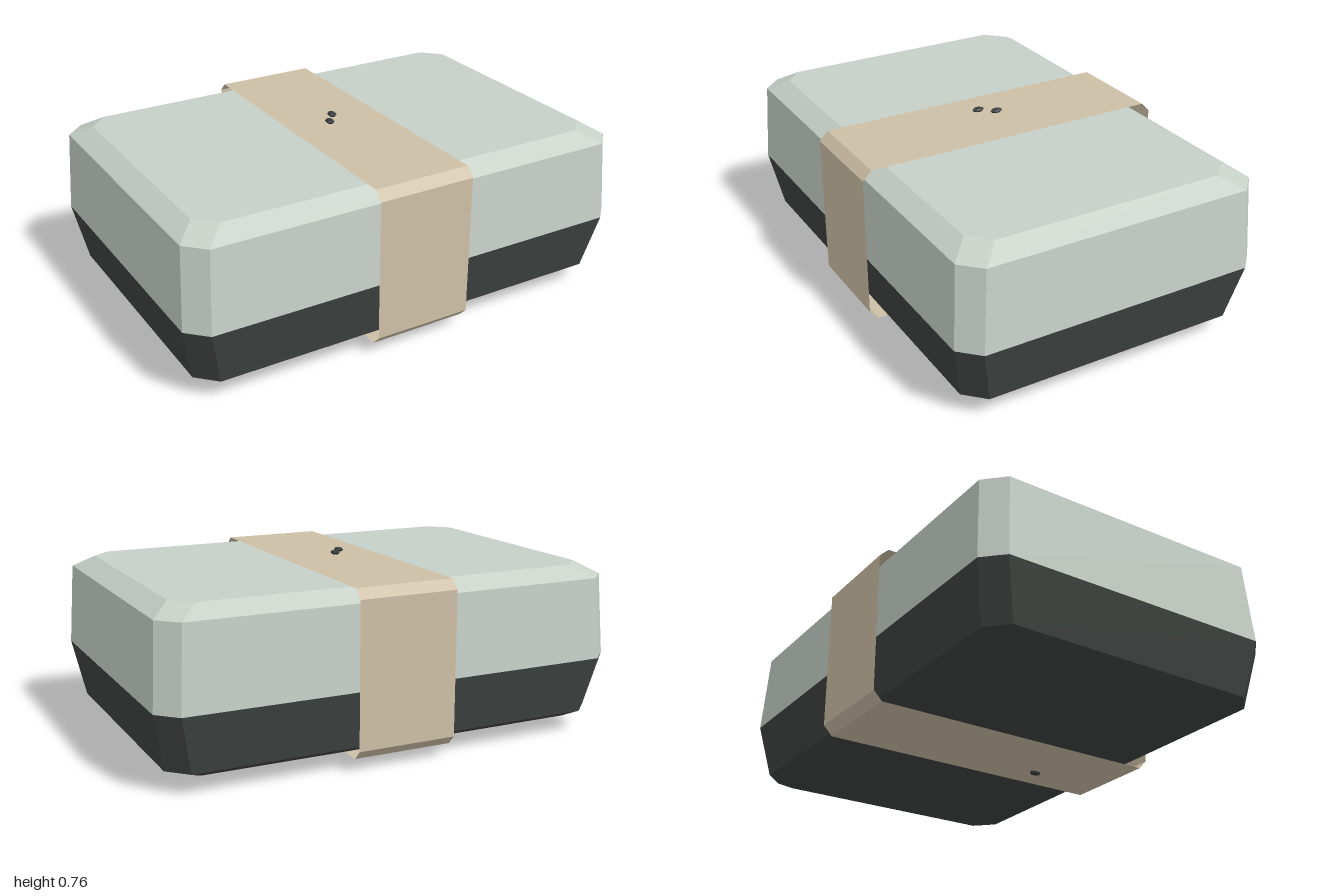
import * as THREE from 'three';

const mat = (name, color, extra = {}) => {
  const m = new THREE.MeshStandardMaterial({ color, ...extra });
  m.name = name;
  return m;
};

// Rectangle with cut corners at height y, counter-clockwise from above
const ring = ([y, x, z], c = 0.08) => [
  [-x + c, y, z], [x - c, y, z], [x, y, z - c], [x, y, -z + c],
  [x - c, y, -z], [-x + c, y, -z], [-x, y, -z + c], [-x, y, z - c],
];

// Triangles from a list of corner triples, with flat normals
function facets(corners) {
  const g = new THREE.BufferGeometry();
  g.setAttribute('position', new THREE.Float32BufferAttribute(corners.flat(), 3));
  g.computeVertexNormals();
  return g;
}

// Closed shell through a stack of rings, bottom to top
function loft(levels) {
  const rings = levels.map((l) => ring(l));
  const out = [];
  const n = 8;
  for (let k = 0; k < rings.length - 1; k++) {
    const a = rings[k], b = rings[k + 1];
    for (let i = 0; i < n; i++) {
      const j = (i + 1) % n;
      out.push(a[i], a[j], b[j], a[i], b[j], b[i]);
    }
  }
  const lo = rings[0], hi = rings[rings.length - 1];
  for (let i = 1; i < n - 1; i++) {
    out.push(hi[0], hi[i], hi[i + 1]);
    out.push(lo[0], lo[i + 1], lo[i]);
  }
  return facets(out);
}

// Thin open strip wrapped around the box, following a loop of [z, y]
function wrap(path, half) {
  const out = [];
  path.forEach(([z0, y0], i) => {
    const [z1, y1] = path[(i + 1) % path.length];
    const a = [-half, y0, z0], b = [half, y0, z0];
    const c = [half, y1, z1], d = [-half, y1, z1];
    out.push(a, b, c, a, c, d);
  });
  return facets(out);
}

export function createModel() {
  const model = new THREE.Group();
  model.name = 'bentoBox';
  const add = (name, geometry, material) => {
    const mesh = new THREE.Mesh(geometry, material);
    mesh.name = name;
    model.add(mesh);
    return mesh;
  };

  const lidGreen = mat('paleSage', 0xc6d0c7, { flatShading: true });
  const trayDark = mat('charcoal', 0x3e4340, { flatShading: true });
  const bandTan = mat('tanBand', 0xcdbfa6, { flatShading: true, side: THREE.DoubleSide });
  const seedDark = mat('darkSeed', 0x393d3e, { flatShading: true });

  // Tray and lid: [y, half width, half depth]
  add('tray', loft([[0.063, 0.9, 0.577], [0.092, 0.952, 0.627], [0.33, 1, 0.674]]), trayDark);
  add('lid', loft([[0.33, 1, 0.674], [0.672, 0.98, 0.655], [0.722, 0.9, 0.575]]), lidGreen);

  // Wrapping band
  add('band', wrap([
    [0.645, 0.053], [0.683, 0.093], [0.683, 0.692], [0.645, 0.73],
    [-0.645, 0.73], [-0.683, 0.692], [-0.683, 0.093], [-0.645, 0.053],
  ], 0.212), bandTan);

  // Small faceted seeds above and below the band
  const seed = new THREE.SphereGeometry(1, 6, 4).rotateY(Math.PI / 2).scale(0.018, 0.01, 0.028);
  [[0, 0.752, -0.037], [-0.047, 0.752, 0.025], [0, 0.01, 0.231]].forEach((p, i) => {
    add('seed' + (i + 1), seed, seedDark).position.set(...p);
  });

  return model;
}
